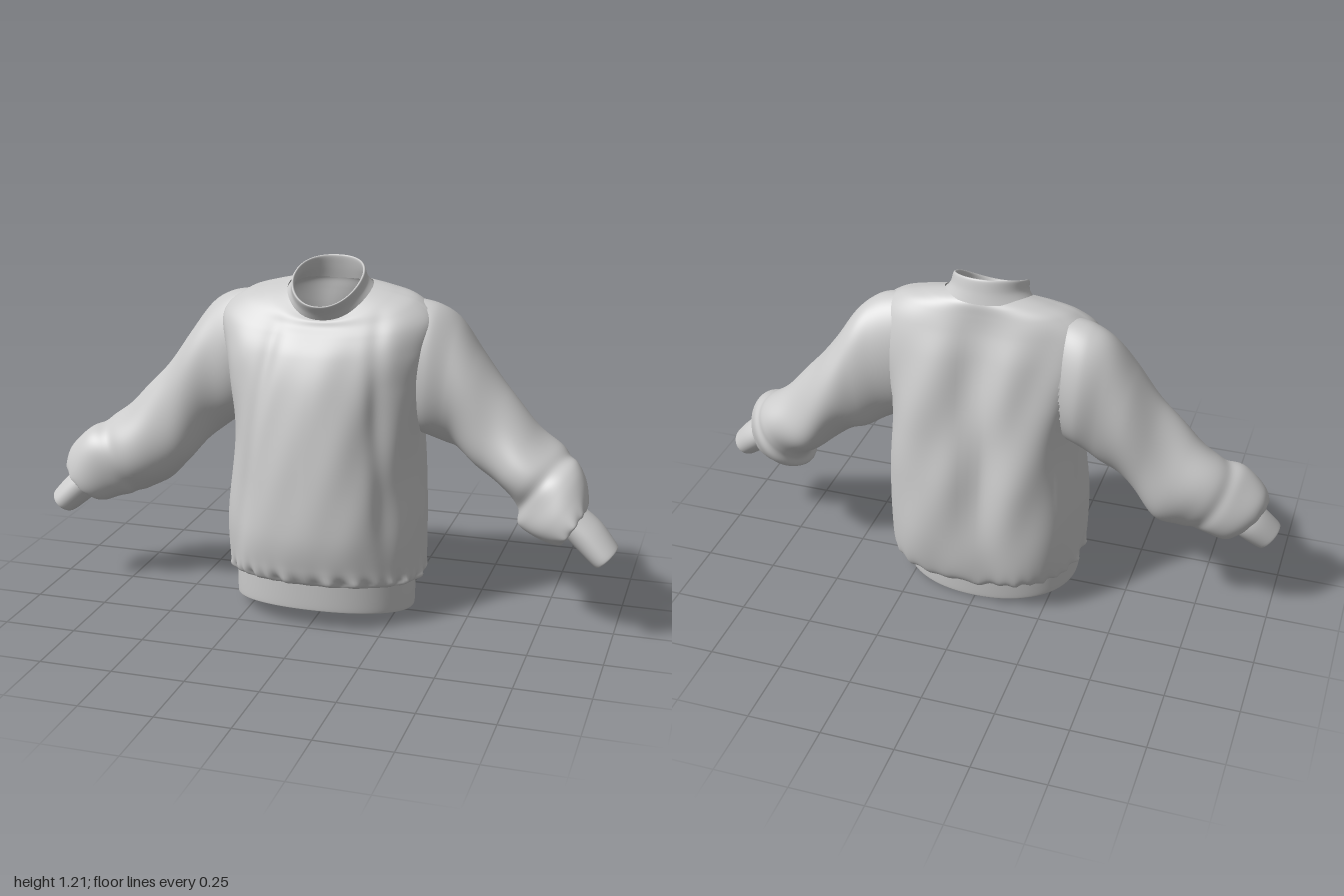
import * as THREE from 'three';

const material = new THREE.MeshStandardMaterial({ color: 0xcccccc, side: THREE.DoubleSide, roughness: 0.9 });
const bump = (v, centre, width) => Math.exp(-(((v - centre) / width) ** 2));

// Smoothly blend between table rows, t from 0 to 1
function sampleRows(rows, t) {
  const last = rows.length - 1;
  const f = t * last, i = Math.min(Math.floor(f), last - 1), u = f - i;
  const at = (k) => rows[Math.min(Math.max(k, 0), last)];
  return rows[0].map((_, c) => {
    const p0 = at(i - 1)[c], p1 = at(i)[c], p2 = at(i + 1)[c], p3 = at(i + 2)[c];
    return p1 + 0.5 * u * (p2 - p0 + u * (2 * p0 - 5 * p1 + 4 * p2 - p3 + u * (3 * (p1 - p2) + p3 - p0)));
  });
}

const never = () => false;

// Skin a closed ring, ringPoint(row, angle, t), along the rows, leaving open where isHole(x, y, z)
function loft(name, rows, ringPoint, steps, segs, flip = false, isHole = never) {
  const points = [], index = [];
  for (let j = 0; j <= steps; j++) {
    const t = j / steps, row = sampleRows(rows, t);
    for (let i = 0; i < segs; i++) points.push(ringPoint(row, (i / segs) * Math.PI * 2, t));
  }
  for (let j = 0; j < steps; j++) for (let i = 0; i < segs; i++) {
    const a = j * segs + i, b = j * segs + (i + 1) % segs, c = a + segs, d = b + segs;
    if (isHole(...points[a])) continue;
    if (flip) index.push(a, b, c, b, d, c);
    else index.push(a, c, b, b, c, d);
  }
  const geo = new THREE.BufferGeometry();
  geo.setAttribute('position', new THREE.Float32BufferAttribute(points.flat(), 3));
  geo.setIndex(index);
  geo.computeVertexNormals();
  const mesh = new THREE.Mesh(geo, material);
  mesh.name = name;
  return mesh;
}

// Tilted torso ring, row: yFront, ySide, yBack, halfWidth, zFront, zBack
// The back grows squarer and the front skews sideways towards mid height
function torsoRing(fold, squareBack, skew) {
  return ([yF, yS, yB, hw, zF, zB], a, t) => {
    const c = Math.cos(a), s = Math.sin(a), middle = Math.sin(Math.PI * t);
    const p = 2 / (2.15 + (s < 0 ? squareBack * middle : 0));
    const z = (zF + zB) / 2 + Math.sign(s) * Math.abs(s) ** p * (zF - zB) / 2;
    const x = Math.sign(c) * Math.abs(c) ** p * hw - skew * middle * Math.max(s, 0);
    const mid = (yF + yB) / 2;
    const y = mid + s * (yF - yB) / 2 + c * c * (yS - mid);
    const d = fold(x, y, s, a, t);
    return [x + c * d, y, z + s * d];
  };
}

// Cloth folds of the body: hem gathers, slanting drapes, hollow along the spine
function bodyFold(x, y, s, a, t) {
  const hang = Math.sin(Math.PI * t) ** 2;
  const gathers = 0.006 * (Math.sin(a * 31 + 2 * Math.sin(a * 3)) + 0.8 * Math.sin(a * 19 + 1)) * bump(t, 0.09, 0.06);
  if (s > 0) {
    const drape = 0.005 * Math.sin(x * 24 + y * 9) + 0.003 * Math.sin(x * 40 - y * 14);
    const sideFold = -0.012 * bump(x, -0.3 + 0.15 * y, 0.03) - 0.012 * bump(x, 0.28 - 0.08 * y, 0.03);
    return gathers + (drape * (0.3 + 2.3 * Math.abs(x)) + sideFold) * hang;
  }
  const spine = -0.045 * bump(x, -0.04 + 0.08 * (y - 0.5), 0.08);
  const drape = 0.012 * bump(x, 0.19, 0.08) - 0.022 * bump(x, -0.24, 0.14)
    + 0.005 * Math.sin(x * 28 + y * 12);
  return gathers + (spine + drape) * hang * Math.min(1, -s * 2);
}

// Armholes, a little smaller than the sleeve ends that cover them
const armhole = (x, y, z) => Math.abs(x) > 0.25 && ((y - 0.85) / 0.19) ** 2 + ((z + 0.07) / 0.1) ** 2 < 1;

// Sleeve ring, row: top x, top y, underside x, underside y, zFront, zBack
function sleeveRing(fold) {
  return ([tx, ty, bx, by, zF, zB], a, t) => {
    const k = 1 + fold(a, t), c = Math.cos(a) * k / 2, s = Math.sin(a) * k / 2;
    return [(tx + bx) / 2 + c * (tx - bx), (ty + by) / 2 + c * (ty - by), (zF + zB) / 2 + s * (zF - zB)];
  };
}

// Sleeve wrinkles: spiralling drapes, wrist gathers and a crease above the puffed wrist
const sleeveFold = (a, t) => {
  const middle = Math.sin(Math.PI * t) ** 2;
  const twist = 0.04 * Math.sin(3 * a + 17 * t) + 0.03 * Math.sin(2 * a - 26 * t);
  const gathers = 0.06 * Math.sin(11 * a + Math.sin(2 * a)) * bump(t, 0.95, 0.06);
  return twist * middle + gathers - 0.05 * bump(t + 0.03 * Math.sin(a), 0.64, 0.03);
};

const bodyRows = [
  [0.155, 0.125, 0.09, 0.312, 0.255, -0.2],
  [0.17, 0.14, 0.1, 0.335, 0.272, -0.25],
  [0.22, 0.18, 0.15, 0.338, 0.288, -0.285],
  [0.33, 0.31, 0.29, 0.333, 0.3, -0.303],
  [0.5, 0.5, 0.5, 0.322, 0.285, -0.298],
  [0.68, 0.68, 0.68, 0.318, 0.258, -0.275],
  [0.82, 0.82, 0.82, 0.335, 0.225, -0.25],
  [0.92, 0.94, 0.95, 0.362, 0.185, -0.215],
  [0.98, 1.035, 1.04, 0.362, 0.145, -0.18],
  [1.01, 1.092, 1.09, 0.3, 0.12, -0.16],
  [1.03, 1.115, 1.12, 0.22, 0.11, -0.148],
  [1.035, 1.128, 1.135, 0.145, 0.1, -0.14],
];
const hemRows = [
  [0.14, 0.115, 0.085, 0.295, 0.24, -0.185],
  [0.075, 0.04, 0.006, 0.3, 0.24, -0.18],
  [0.066, 0.03, 0, 0.308, 0.25, -0.19],
  [0.075, 0.04, 0.01, 0.313, 0.254, -0.195],
  [0.158, 0.128, 0.094, 0.314, 0.258, -0.203],
];
const collarRows = [
  [1.03, 1.118, 1.133, 0.148, 0.1, -0.145],
  [1.055, 1.138, 1.17, 0.128, 0.115, -0.135],
  [1.083, 1.165, 1.208, 0.121, 0.135, -0.126],
  [1.083, 1.164, 1.207, 0.113, 0.125, -0.118],
  [1.06, 1.14, 1.17, 0.117, 0.108, -0.125],
  [1.035, 1.118, 1.13, 0.13, 0.092, -0.135],
];
const leftSleeve = [
  [0.29, 1.093, 0.29, 0.64, 0.06, -0.19],
  [0.365, 1.075, 0.33, 0.625, 0.065, -0.205],
  [0.435, 1.02, 0.39, 0.6, 0.05, -0.23],
  [0.51, 0.92, 0.44, 0.58, 0.045, -0.245],
  [0.6, 0.79, 0.51, 0.53, 0.055, -0.245],
  [0.7, 0.68, 0.58, 0.47, 0.07, -0.225],
  [0.79, 0.615, 0.65, 0.41, 0.085, -0.205],
  [0.85, 0.57, 0.665, 0.35, 0.105, -0.195],
  [0.88, 0.525, 0.73, 0.32, 0.12, -0.145],
  [0.895, 0.46, 0.81, 0.315, 0.125, -0.085],
  [0.89, 0.43, 0.835, 0.365, 0.1, -0.02],
];
const rightSleeve = [
  [-0.29, 1.093, -0.29, 0.65, 0.06, -0.19],
  [-0.365, 1.076, -0.33, 0.635, 0.065, -0.2],
  [-0.435, 1.03, -0.39, 0.6, 0.065, -0.185],
  [-0.51, 0.935, -0.45, 0.55, 0.075, -0.168],
  [-0.6, 0.79, -0.52, 0.47, 0.095, -0.15],
  [-0.7, 0.69, -0.6, 0.38, 0.11, -0.145],
  [-0.8, 0.615, -0.68, 0.35, 0.12, -0.125],
  [-0.88, 0.565, -0.75, 0.33, 0.13, -0.105],
  [-0.945, 0.5, -0.81, 0.305, 0.135, -0.085],
  [-0.96, 0.445, -0.835, 0.315, 0.13, -0.06],
  [-0.93, 0.43, -0.84, 0.355, 0.11, -0.03],
];
const cuffRows = [
  [0.88, 0.45, 0.81, 0.37, 0.115, -0.04],
  [0.945, 0.402, 0.868, 0.318, 0.125, -0.035],
  [0.999, 0.342, 0.928, 0.27, 0.134, -0.008],
  [0.998, 0.337, 0.934, 0.271, 0.128, -0.002],
  [0.935, 0.395, 0.873, 0.328, 0.116, -0.026],
];

export function createModel() {
  const sweatshirt = new THREE.Group();
  sweatshirt.name = 'sweatshirt';
  const still = () => 0;

  // Body, hem band and collar
  sweatshirt.add(
    loft('body', bodyRows, torsoRing(bodyFold, 0.9, 0.035), 120, 200, false, armhole),
    loft('hemBand', hemRows, torsoRing(still, 0, 0), 24, 96),
    loft('collar', collarRows, torsoRing(still, 0, 0), 30, 72),
  );

  // Sleeves, each with its ribbed cuff
  for (const side of [1, -1]) {
    const label = side > 0 ? 'left' : 'right';
    const cuff = cuffRows.map(([tx, ty, bx, by, zF, zB]) => [side * tx, ty, side * bx, by, zF, zB]);
    sweatshirt.add(
      loft(label + 'Sleeve', side > 0 ? leftSleeve : rightSleeve, sleeveRing(sleeveFold), 100, 80, side > 0),
      loft(label + 'Cuff', cuff, sleeveRing(still), 20, 40, side > 0),
    );
  }
  return sweatshirt;
}
